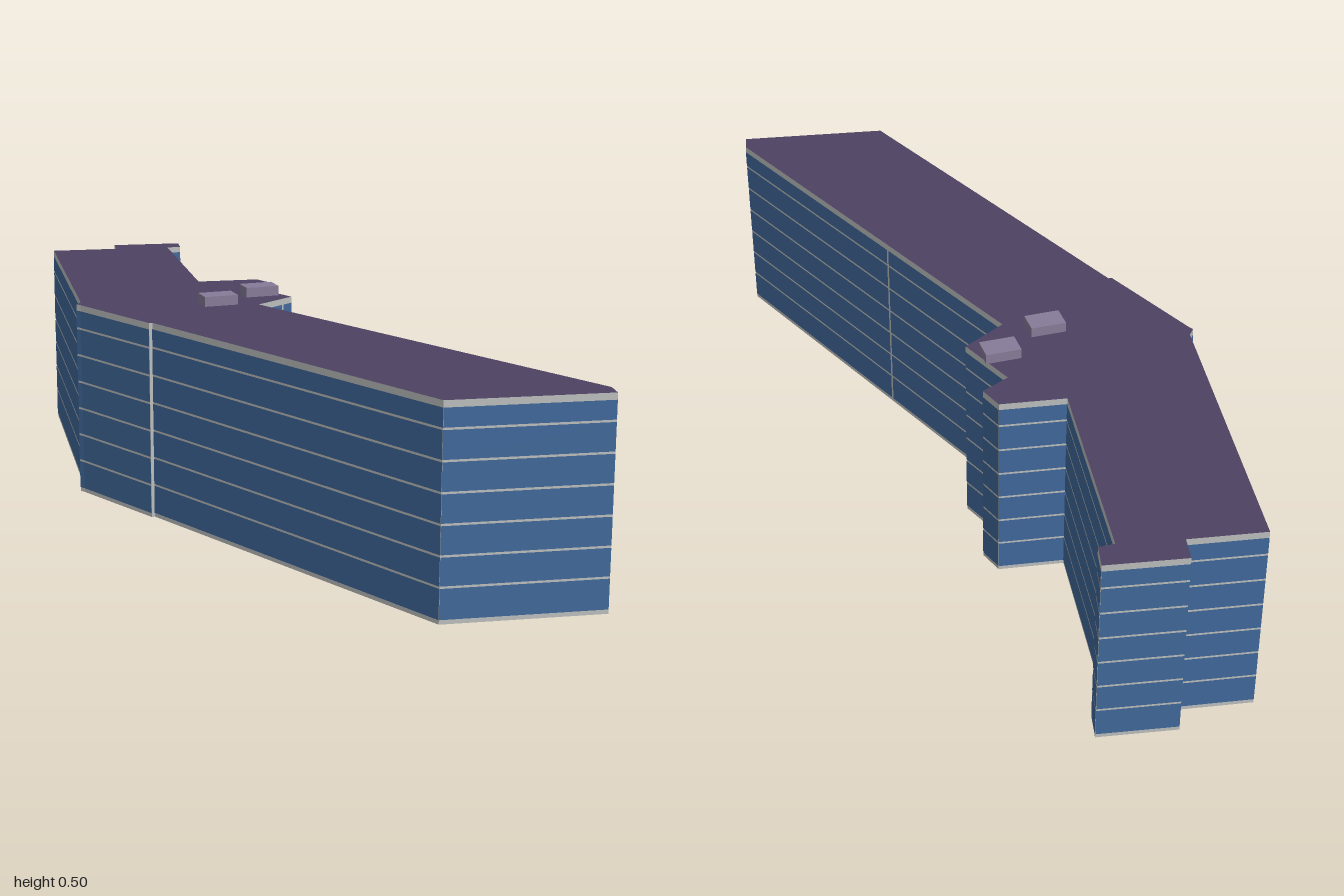
import * as THREE from 'three';
import { mergeGeometries } from 'three/addons/utils/BufferGeometryUtils.js';

const HEIGHT = 0.474;

// Floor plan as [x, z]; edges shorter than SEAM stay unglazed as vertical mullions
const PLAN = [
  [-0.283, -0.97], [-0.111, -0.942], [-0.1, -1], [0.079, -0.969], [0.067, -0.913], [0.03, -0.913],
  [-0.041, -0.407], [0.111, -0.384], [0.13, -0.325], [0.061, -0.291], [0.116, -0.143],
  [0.088, -0.127], [0.083, -0.124], [0.008, -0.08],
  [0.172, 0.342], [0.1743, 0.348], [0.408, 0.948], [0.398, 0.992],
  [0.04, 0.932], [-0.297, 0.037], [-0.305, 0.037], [-0.403, -0.217], [-0.41, -0.23], [-0.394, -0.25],
];
const SEAM = 0.009;

// Upright panel along one plan edge, pushed outward by offset
function panel(a, b, y0, y1, offset) {
  const dx = b[0] - a[0], dz = b[1] - a[1], len = Math.hypot(dx, dz);
  const nx = dz / len, nz = -dx / len;
  return new THREE.PlaneGeometry(len, y1 - y0)
    .rotateY(Math.atan2(nx, nz))
    .translate((a[0] + b[0]) / 2 + nx * offset, (y0 + y1) / 2, (a[1] + b[1]) / 2 + nz * offset);
}

export function createModel() {
  const group = new THREE.Group();
  const wallGrey = new THREE.MeshStandardMaterial({ color: 0xbdbfbf, side: THREE.DoubleSide });
  const glassBlue = new THREE.MeshStandardMaterial({ color: 0x40699b });
  const roofPurple = new THREE.MeshStandardMaterial({ color: 0x4d4162 });
  const unitMauve = new THREE.MeshStandardMaterial({ color: 0x877c98 });

  const add = (name, geometry, material) => {
    const mesh = new THREE.Mesh(geometry, material);
    mesh.name = name;
    group.add(mesh);
    return mesh;
  };
  const edges = PLAN.map((p, i) => [p, PLAN[(i + 1) % PLAN.length]]);

  // Outer walls, open underneath
  add('walls', mergeGeometries(edges.map(([a, b]) => panel(a, b, 0, HEIGHT, 0))), wallGrey);

  // Seven storeys of glazing with thin floor lines between them
  const glazed = edges.filter(([a, b]) => Math.hypot(b[0] - a[0], b[1] - a[1]) > SEAM);
  for (let floor = 0; floor < 7; floor++) {
    const y0 = floor === 0 ? 0.01 : 0.0155 + floor * 0.067;
    const y1 = floor === 6 ? 0.459 : 0.0105 + (floor + 1) * 0.067;
    add(`glazingFloor${floor + 1}`, mergeGeometries(glazed.map(([a, b]) => panel(a, b, y0, y1, 0.001))), glassBlue);
  }

  // Flat roof and the ceiling beneath it
  const shape = new THREE.Shape(PLAN.map(([x, z]) => new THREE.Vector2(x, -z)));
  const flat = new THREE.ShapeGeometry(shape).rotateX(-Math.PI / 2);
  add('roof', flat, roofPurple).position.y = HEIGHT;
  add('ceiling', flat.clone(), wallGrey).position.y = HEIGHT - 0.004;

  // Rooftop plant boxes
  for (const [x, z] of [[-0.082, -0.124], [0.05, -0.198]]) {
    add('roofUnit', new THREE.BoxGeometry(0.084, 0.024, 0.056), unitMauve).position.set(x, HEIGHT + 0.012, z);
  }
  return group;
}
